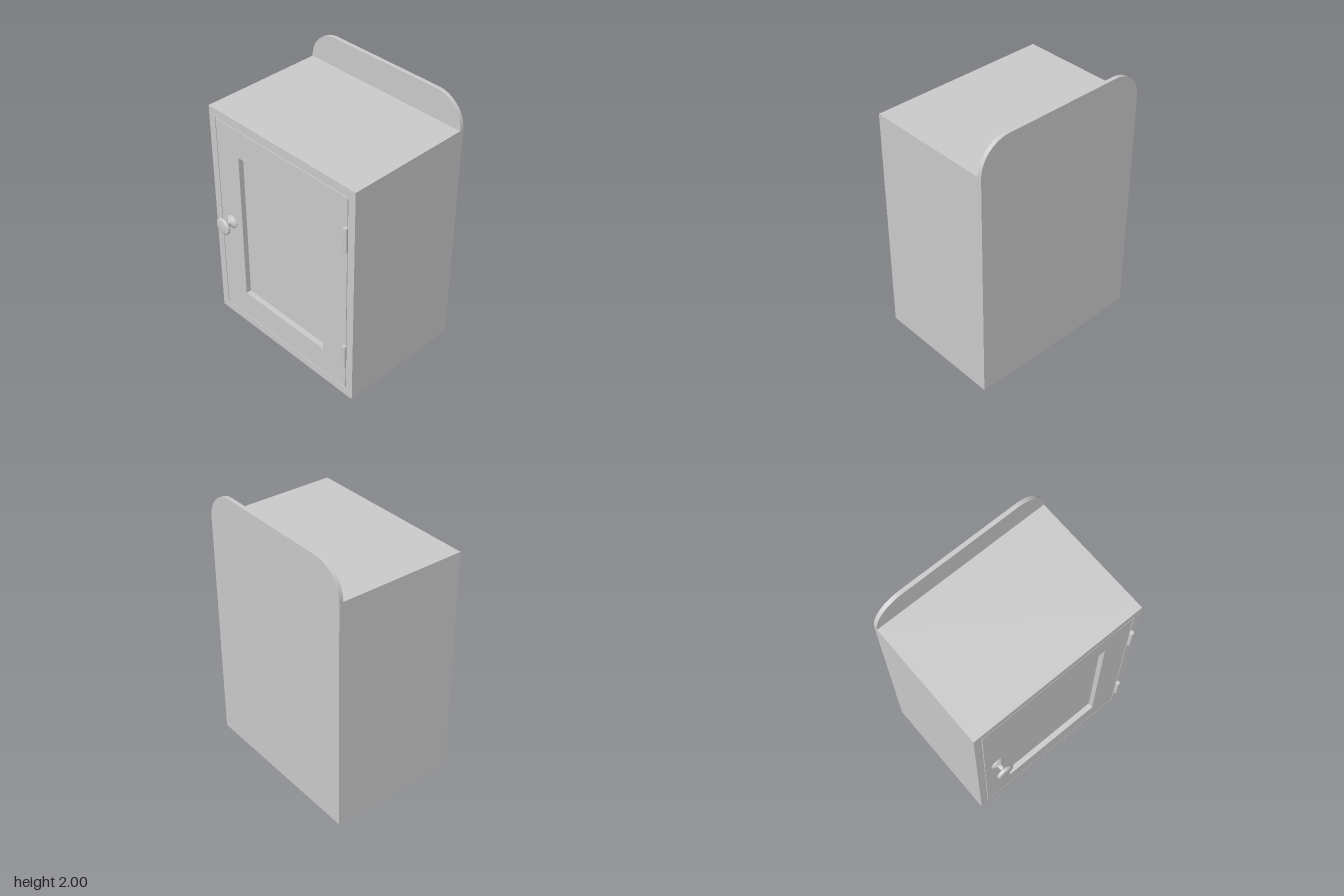
import * as THREE from 'three';
import { toCreasedNormals } from 'three/addons/utils/BufferGeometryUtils.js';

const W = 0.685, FRONT = 0.442, BACK = -0.54;
const material = new THREE.MeshStandardMaterial({ color: 0xcccccc });

function add(parent, name, geometry, x = 0, y = 0, z = 0) {
  const mesh = new THREE.Mesh(geometry, material);
  mesh.name = name;
  mesh.position.set(x, y, z);
  parent.add(mesh);
  return mesh;
}

function rect(path, x0, y0, x1, y1) {
  path.moveTo(x0, y0);
  path.lineTo(x1, y0);
  path.lineTo(x1, y1);
  path.lineTo(x0, y1);
  path.closePath();
  return path;
}

// rectangular frame: outer and inner bounds [x0, y0, x1, y1], extruded along z
function frame(outer, inner, depth) {
  const shape = rect(new THREE.Shape(), ...outer);
  shape.holes.push(rect(new THREE.Path(), ...inner));
  return new THREE.ExtrudeGeometry(shape, { depth, bevelEnabled: false });
}

export function createModel() {
  const model = new THREE.Group();
  model.name = 'cabinet';

  // Back board with rounded upper corners
  const r = 0.225, thickness = 0.03;
  const board = new THREE.Shape();
  board.moveTo(-W, 0);
  board.lineTo(W, 0);
  board.lineTo(W, 2 - r);
  board.absarc(W - r, 2 - r, r, 0, Math.PI / 2);
  board.absarc(-W + r, 2 - r, r, Math.PI / 2, Math.PI);
  board.closePath();
  const boardGeometry = new THREE.ExtrudeGeometry(board, { depth: thickness, bevelEnabled: false, curveSegments: 24 });
  add(model, 'backBoard', toCreasedNormals(boardGeometry, 0.6), 0, 0, BACK);

  // Hollow carcass: sides, top and bottom
  const bodyBack = BACK + thickness;
  add(model, 'carcass', frame([-W, 0, W, 1.775], [-0.626, 0.063, 0.626, 1.708], FRONT - bodyBack), 0, 0, bodyBack);

  // Door, flush with the carcass, with a narrow gap all round
  const door = new THREE.Group();
  door.name = 'door';
  model.add(door);
  const doorDepth = 0.06;
  add(door, 'doorFrame', frame([-0.62, 0.069, 0.62, 1.702], [-0.404, 0.287, 0.402, 1.487], doorDepth), 0, 0, FRONT - doorDepth);
  add(door, 'doorPanel', new THREE.BoxGeometry(0.83, 1.22, 0.03), 0, 0.887, FRONT - 0.04 - 0.015);

  // Hinge barrels
  for (const y of [0.385, 1.39]) {
    add(door, 'hinge', new THREE.CylinderGeometry(0.016, 0.016, 0.192, 24), 0.621, y, FRONT + 0.017);
  }

  // Turned knob: flared base, slim stem and rounded disc head
  const profile = [[0, 0], [0.052, 0], [0.052, 0.006], [0.034, 0.018], [0.018, 0.026], [0.018, 0.066], [0.05, 0.067]];
  for (let i = 0; i <= 8; i++) {
    const a = -Math.PI / 2 + (i / 8) * Math.PI;
    profile.push([0.052 + 0.014 * Math.cos(a), 0.082 + 0.014 * Math.sin(a)]);
  }
  profile.push([0.03, 0.098], [0, 0.099]);
  const knobGeometry = new THREE.LatheGeometry(profile.map(([x, y]) => new THREE.Vector2(x, y)), 40);
  const knob = add(door, 'knob', toCreasedNormals(knobGeometry, 0.6), -0.515, 0.89, FRONT);
  knob.rotation.x = Math.PI / 2;

  return model;
}
